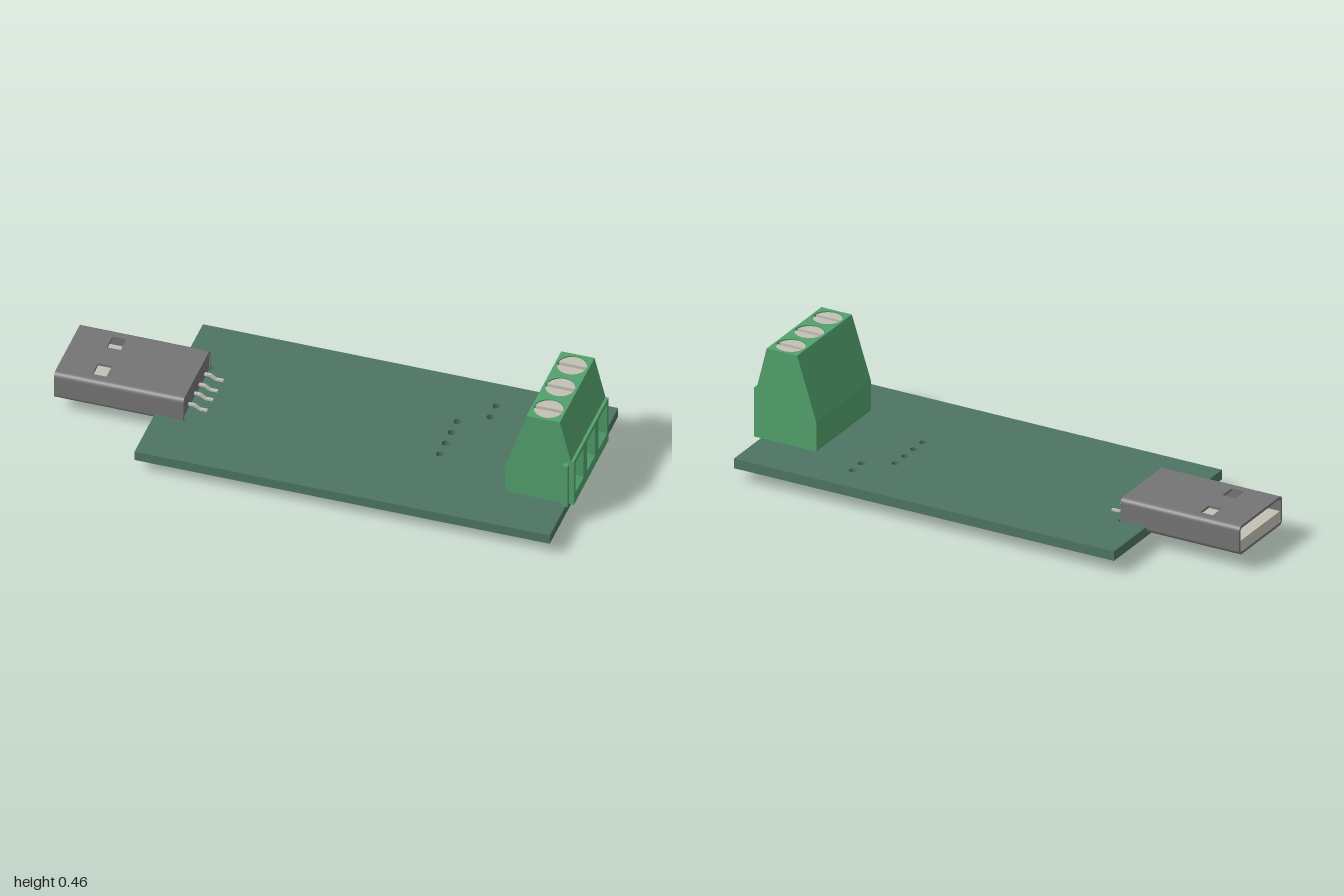
import * as THREE from 'three';

const mat = (name, color, side = THREE.FrontSide) => {
  const m = new THREE.MeshStandardMaterial({ color, side });
  m.name = name;
  return m;
};

// Closed shape from points
const poly = (pts) => new THREE.Shape(pts.map(([x, y]) => new THREE.Vector2(x, y)));
const rect = (x0, x1, y0, y1) => poly([[x0, y0], [x1, y0], [x1, y1], [x0, y1]]);
const circle = (x, y, r) => new THREE.Shape().absarc(x, y, r, 0, Math.PI * 2);
const extrude = (shape, depth) =>
  new THREE.ExtrudeGeometry(shape, { depth, bevelEnabled: false, curveSegments: 12 });
// Shape drawn in x and -z, raised along y
const slab = (shape, y0, y1) => extrude(shape, y1 - y0).rotateX(-Math.PI / 2).translate(0, y0, 0);

// Quads joining a series of four-corner loops
function loft(loops, closeEnd) {
  const pos = [];
  const quad = (a, b, c, d) => pos.push(...a, ...b, ...c, ...a, ...c, ...d);
  for (let i = 0; i + 1 < loops.length; i++) {
    for (let j = 0; j < 4; j++) {
      const k = (j + 1) % 4;
      quad(loops[i][j], loops[i][k], loops[i + 1][k], loops[i + 1][j]);
    }
  }
  if (closeEnd) quad(...loops[loops.length - 1]);
  const g = new THREE.BufferGeometry();
  g.setAttribute('position', new THREE.Float32BufferAttribute(pos, 3));
  g.computeVertexNormals();
  return g;
}

export function createModel() {
  const model = new THREE.Group();
  model.name = 'adapterBoard';
  const boardMat = mat('boardGreen', 0x4d7462);
  const blockMat = mat('terminalGreen', 0x52a06c, THREE.DoubleSide);
  const shellMat = mat('shellGrey', 0x747474);
  const metalMat = mat('paleMetal', 0xc2c0b4);

  const group = (name) => {
    const g = new THREE.Group();
    g.name = name;
    model.add(g);
    return g;
  };
  const add = (parent, name, geo, material) => {
    const m = new THREE.Mesh(geo, material);
    m.name = name;
    parent.add(m);
    return m;
  };
  const box = (parent, name, material, x0, x1, y0, y1, z0, z1) =>
    add(parent, name, new THREE.BoxGeometry(x1 - x0, y1 - y0, z1 - z0)
      .translate((x0 + x1) / 2, (y0 + y1) / 2, (z0 + z1) / 2), material);

  // Circuit board with drilled holes and slots for the shell legs
  const board = rect(-0.613, 0.973, -0.397, 0.397);
  const drills = [[0.444, -0.139], [0.444, -0.071], [0.444, -0.004], [0.444, 0.063],
    [0.55, -0.27], [0.55, -0.202], [-0.535, -0.055], [-0.535, 0.055]];
  drills.forEach(([x, z]) => board.holes.push(circle(x, -z, 0.015)));
  board.holes.push(rect(-0.56, -0.498, 0.149, 0.167), rect(-0.56, -0.498, -0.167, -0.149));
  add(model, 'circuitBoard', slab(board, 0.053, 0.091), boardMat);

  // Plug shell: top and bottom plates with windows, rounded sides
  const plug = group('plug');
  const x0 = -1, x1 = -0.505, low = 0.065, high = 0.18, half = 0.158, r = 0.02, t = 0.01;
  const plate = rect(x0, x1, -half + r, half - r);
  [-1, 1].forEach((s) => plate.holes.push(rect(-0.866, -0.813, s * 0.083 - 0.033, s * 0.083 + 0.033)));
  add(plug, 'shellTop', slab(plate, high - t, high), shellMat);
  add(plug, 'shellBottom', slab(plate, low, low + t), shellMat);

  const h = (high - low) / 2, c = half - r, q = Math.PI / 2;
  const sideShape = new THREE.Shape();
  sideShape.moveTo(c, -h);
  sideShape.absarc(c, -h + r, r, -q, 0);
  sideShape.absarc(c, h - r, r, 0, q);
  sideShape.lineTo(c, h - t);
  sideShape.absarc(c, h - r, r - t, q, 0, true);
  sideShape.absarc(c, -h + r, r - t, 0, -q, true);
  const sideGeo = extrude(sideShape, x1 - x0).rotateY(q);
  [0, Math.PI].forEach((a) => {
    const side = add(plug, 'shellSide', sideGeo, shellMat);
    side.position.set(x0, (low + high) / 2, 0);
    side.rotation.x = a;
  });
  box(plug, 'shellBack', shellMat, x1 - 0.015, x1 - 0.003, low + t, high - t, -half + t, half - t);
  box(plug, 'plugTongue', metalMat, x0 + 0.004, x1 - 0.02, low + t + 0.002, 0.118, -half + t, half - t);

  // Round-ended shell legs
  const legShape = new THREE.Shape();
  legShape.moveTo(-0.557, 0.1);
  legShape.absarc(-0.531, 0.046, 0.026, Math.PI, Math.PI * 2);
  legShape.lineTo(-0.505, 0.1);
  [-0.156, 0.156].forEach((z) =>
    add(plug, 'shellLeg', extrude(legShape, 0.007).translate(0, 0, z - 0.0035), shellMat));

  // Bent contact pins
  const pinShape = poly([[-0.51, 0.113], [-0.51, 0.105], [-0.487, 0.105], [-0.465, 0.092],
    [-0.436, 0.092], [-0.436, 0.099], [-0.463, 0.099], [-0.484, 0.113]]);
  [-0.098, -0.033, 0.022, 0.088].forEach((z) =>
    add(plug, 'contactPin', extrude(pinShape, 0.012).translate(0, 0, z - 0.006), metalMat));

  // Terminal block: ends and walls follow one profile
  const block = group('terminalBlock');
  const zs = [-0.135, 0, 0.135], bz = 0.201, base = 0.093, ledge = 0.29, top = 0.459;
  const profile = [[1, base], [1, ledge], [0.989, ledge], [0.947, top],
    [0.82, top], [0.74, 0.21], [0.74, base]];
  const endGeo = new THREE.ShapeGeometry(poly(profile));
  add(block, 'blockLeftEnd', endGeo.clone().translate(0, 0, bz), blockMat);
  add(block, 'blockRightEnd', endGeo.clone().scale(-1, 1, 1).rotateY(Math.PI).translate(0, 0, -bz), blockMat);
  profile.forEach(([ax, ay], i) => {
    if (i === 0 || i === 3) return; // front and top have openings
    const [bx, by] = profile[(i + 1) % profile.length];
    add(block, 'blockWall', loft([
      [[ax, ay, bz], [ax, ay, -bz], [bx, by, -bz], [bx, by, bz]]], true), blockMat);
  });
  box(block, 'sideRib', blockMat, 0.964, 0.982, base, 0.278, bz, 0.221);

  const front = rect(-bz, bz, base, ledge);
  const lid = rect(0.82, 0.947, -bz, bz);
  zs.forEach((z) => {
    front.holes.push(rect(z - 0.048, z + 0.048, 0.136, 0.272));
    lid.holes.push(circle(0.883, z, 0.055));
  });
  add(block, 'blockFront', new THREE.ShapeGeometry(front).rotateY(q).translate(1, 0, 0), blockMat);
  add(block, 'blockTop', new THREE.ShapeGeometry(lid, 16).rotateX(-q).translate(0, top, 0), blockMat);

  // Slotted screw head, half of it
  const s = Math.asin(0.008 / 0.054);
  const headGeo = slab(new THREE.Shape().absarc(0, 0, 0.054, s, Math.PI - s), 0, 0.018);

  zs.forEach((z) => {
    // Funnel-shaped wire entry
    const loop = (x, w, y0, y1) => [[x, y0, z + w], [x, y0, z - w], [x, y1, z - w], [x, y1, z + w]];
    add(block, 'wireEntry', loft([loop(1, 0.048, 0.136, 0.272), loop(0.955, 0.036, 0.157, 0.23),
      loop(0.85, 0.036, 0.157, 0.23)].reverse().map((l) => l), false), blockMat);
    add(block, 'wireEntryBack', loft([loop(0.85, 0.036, 0.157, 0.23)], true), blockMat);
    [-1, 1].forEach((d) => box(block, 'clampSide', metalMat, 0.852, 0.954, 0.159, 0.228,
      z + d * 0.034 - 0.002, z + d * 0.034 + 0.002));

    // Screw in its round well
    const well = new THREE.CylinderGeometry(0.055, 0.055, 0.06, 32, 1, true);
    add(block, 'screwWell', well.translate(0.883, top - 0.03, z), blockMat);
    const body = new THREE.CylinderGeometry(0.054, 0.054, 0.03, 32);
    add(block, 'screwBody', body.translate(0.883, top - 0.037, z), metalMat);
    [0, Math.PI].forEach((a) => {
      const head = add(block, 'screwHead', headGeo, metalMat);
      head.position.set(0.883, top - 0.022, z);
      head.rotation.y = a;
    });

    // Solder pin through the board
    box(block, 'solderPin', metalMat, 0.865, 0.889, 0, 0.1, z - 0.0125, z + 0.0125);
  });

  return model;
}
